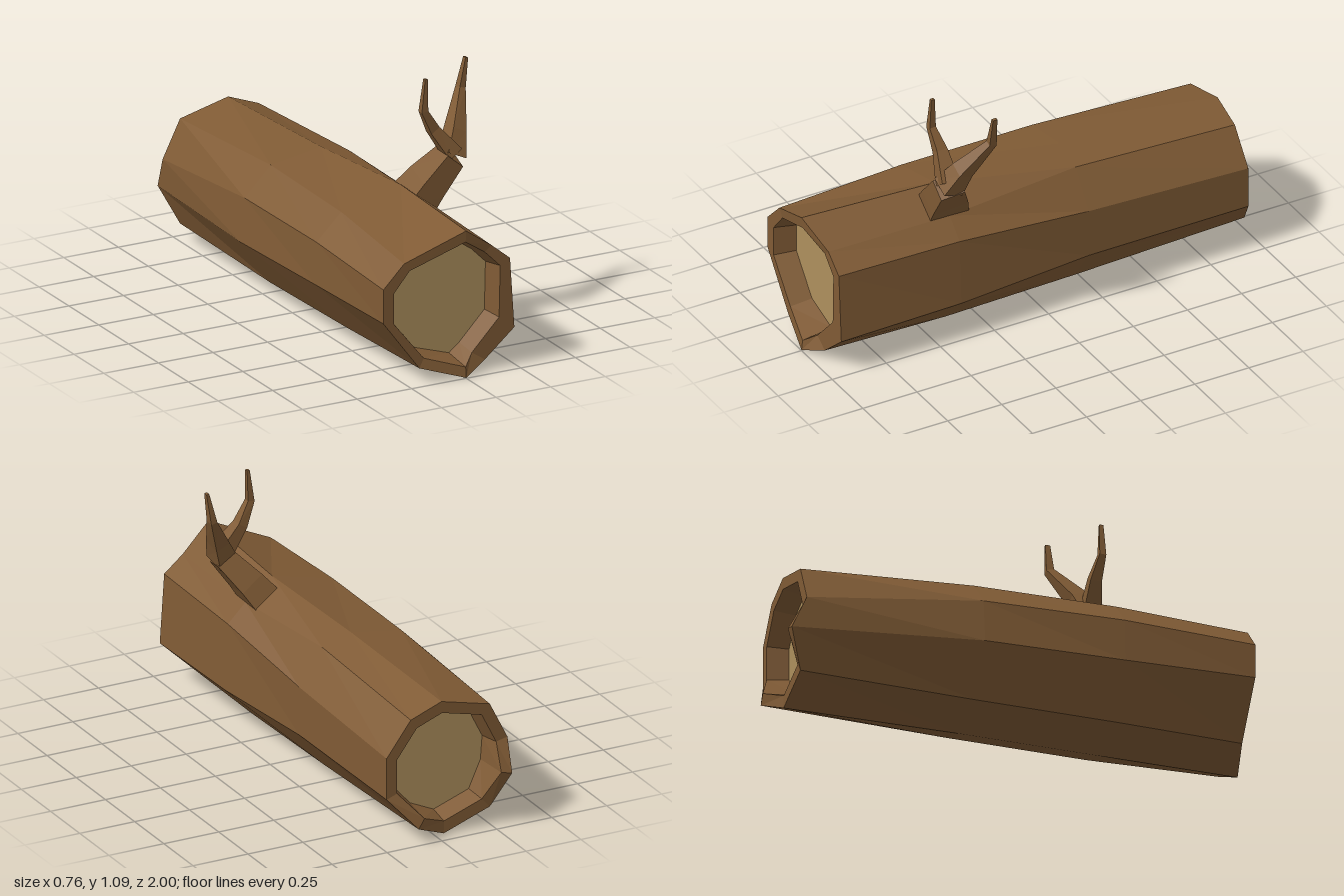
import * as THREE from 'three';

const bark = new THREE.MeshStandardMaterial({ color: 0x805b35 });
bark.name = 'bark brown';
const cutWood = new THREE.MeshStandardMaterial({ color: 0xae905d });
cutWood.name = 'cut wood tan';

// Faceted mesh from a flat list of triangle corners
function facetMesh(name, points, material) {
  const geometry = new THREE.BufferGeometry().setFromPoints(points);
  geometry.computeVertexNormals();
  const mesh = new THREE.Mesh(geometry, material);
  mesh.name = name;
  return mesh;
}

// Triangles joining successive rings of equal length
function loft(rings) {
  const out = [];
  for (let r = 0; r < rings.length - 1; r++) {
    const p = rings[r], q = rings[r + 1], n = p.length;
    for (let i = 0; i < n; i++) {
      const j = (i + 1) % n;
      out.push(p[i], p[j], q[j], p[i], q[j], q[i]);
    }
  }
  return out;
}

// Fan of triangles closing a ring
function cap(ring) {
  const out = [];
  for (let i = 1; i < ring.length - 1; i++) out.push(ring[0], ring[i], ring[i + 1]);
  return out;
}

// Ring of [x, y, optional z] corners, starting at the top and going by +x
const makeRing = (z, corners) => corners.map(([x, y, own]) => new THREE.Vector3(x, y, own ?? z));

// Ring drawn in towards a centre; z is fixed when given
function inset(ring, scale, z) {
  return ring.map(p => new THREE.Vector3(-0.045 + (p.x + 0.045) * scale, 0.305 + (p.y - 0.305) * scale, z ?? p.z));
}

// Four-sided tapering limb; each station is [x, y, z, halfWidth, halfDepth]
function limb(name, stations) {
  const centres = stations.map(s => new THREE.Vector3(s[0], s[1], s[2]));
  const zAxis = new THREE.Vector3(0, 0, 1);
  const rings = stations.map(([, , , w, d], i) => {
    const before = centres[Math.max(i - 1, 0)];
    const after = centres[Math.min(i + 1, centres.length - 1)];
    const t = after.clone().sub(before).normalize();
    const u = t.clone().cross(zAxis).normalize();
    const v = t.clone().cross(u);
    return [[1, 1], [-1, 1], [-1, -1], [1, -1]].map(([a, b]) =>
      centres[i].clone().addScaledVector(u, a * w).addScaledVector(v, b * d));
  });
  return facetMesh(name, [...loft(rings), ...cap(rings[rings.length - 1])], bark);
}

export function createModel() {
  const model = new THREE.Group();
  model.name = 'hollowLog';

  // Log cross-sections from front to back, with pointed ends
  const front = makeRing(0.955, [[0, 0.635, 1], [0.14, 0.535], [0.225, 0.465], [0.245, 0.165], [0.11, 0.05],
    [0, 0.005, 1], [-0.19, 0.065], [-0.355, 0.285], [-0.355, 0.43], [-0.26, 0.525]]);
  const middleFront = makeRing(0.4, [[0.03, 0.632], [0.15, 0.54], [0.23, 0.46], [0.245, 0.175], [0.12, 0.045],
    [-0.02, 0.003], [-0.22, 0.065], [-0.365, 0.275], [-0.358, 0.455], [-0.245, 0.565]]);
  const middleBack = makeRing(-0.2, [[-0.01, 0.608], [0.12, 0.568], [0.225, 0.415], [0.225, 0.205], [0.11, 0.05],
    [-0.04, 0.003], [-0.24, 0.065], [-0.38, 0.265], [-0.36, 0.45], [-0.24, 0.57]]);
  const back = makeRing(-0.94, [[-0.03, 0.585], [0.11, 0.532], [0.22, 0.385], [0.22, 0.205], [0.1, 0.07, -0.99],
    [-0.04, 0.005], [-0.25, 0.08], [-0.32, 0.235, -1], [-0.33, 0.37], [-0.25, 0.53]]);

  // Rims and recessed cut faces
  const frontRim = makeRing(0.955, [[0, 0.585, 0.995], [0.11, 0.51], [0.18, 0.44], [0.175, 0.22], [0.05, 0.09],
    [0, 0.05, 0.995], [-0.17, 0.105], [-0.307, 0.275], [-0.307, 0.405], [-0.235, 0.49]]);
  const frontFloor = inset(frontRim, 0.93, 0.86);
  const backRim = inset(back, 0.82);
  const backFloor = inset(backRim, 0.93, -0.85);

  model.add(facetMesh('logBark',
    loft([frontFloor, frontRim, front, middleFront, middleBack, back, backRim, backFloor]), bark));
  model.add(facetMesh('frontCutFace', cap([...frontFloor].reverse()), cutWood));
  model.add(facetMesh('backCutFace', cap(backFloor), cutWood));

  // Forked branch
  const branch = new THREE.Group();
  branch.name = 'branch';
  branch.add(
    limb('branchStem', [[0.08, 0.55, 0.395, 0.064, 0.09], [0.14, 0.63, 0.415, 0.056, 0.078],
      [0.232, 0.74, 0.45, 0.045, 0.052]]),
    limb('leftFork', [[0.228, 0.735, 0.45, 0.045, 0.05], [0.27, 0.825, 0.41, 0.033, 0.036],
      [0.346, 0.967, 0.318, 0.014, 0.018], [0.37, 1.093, 0.318, 0.006, 0.01]]),
    limb('rightFork', [[0.232, 0.755, 0.455, 0.034, 0.04], [0.15, 0.865, 0.445, 0.022, 0.024],
      [0.1, 0.955, 0.458, 0.015, 0.014], [0.11, 1.09, 0.458, 0.006, 0.008]])
  );
  model.add(branch);
  return model;
}
